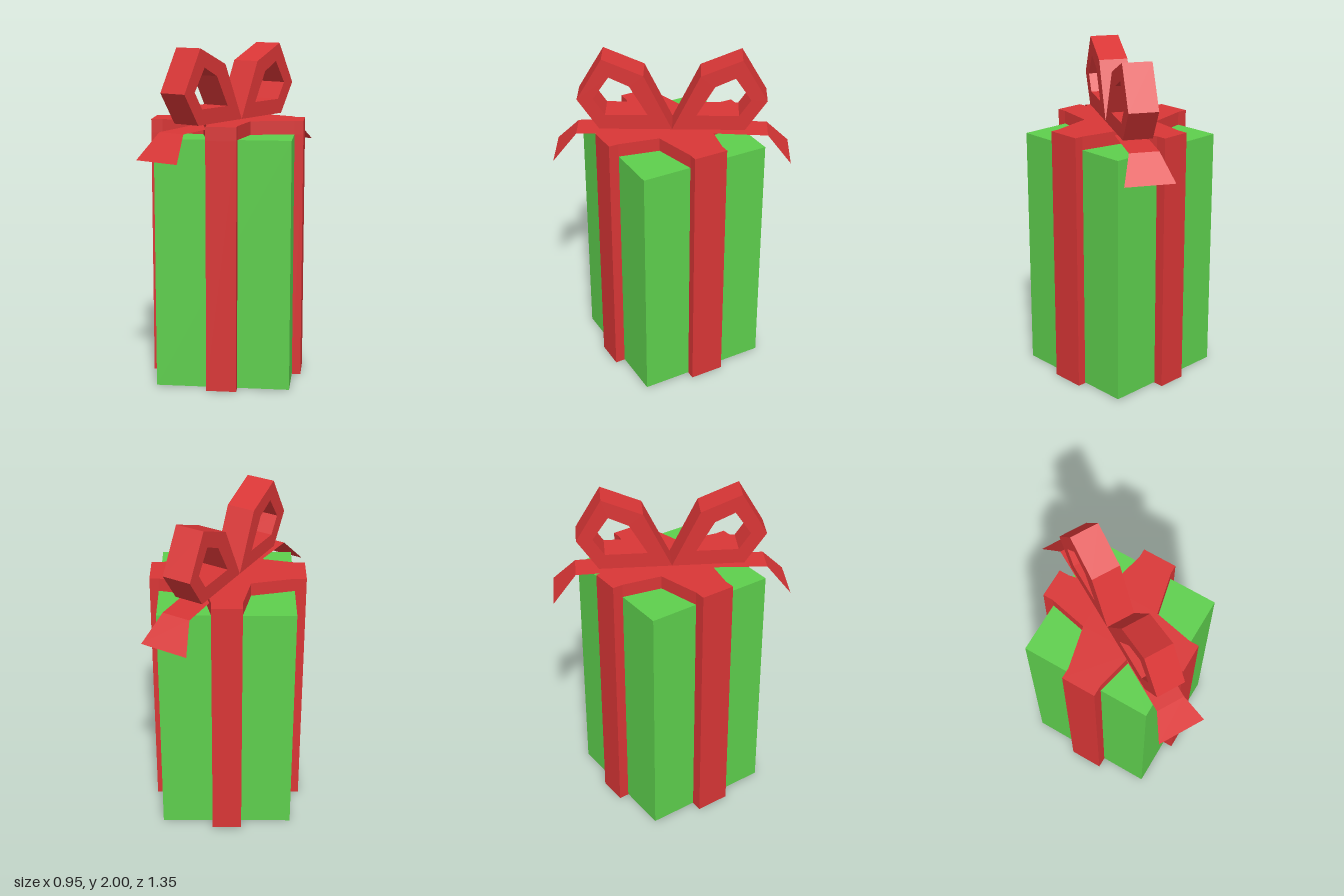
import * as THREE from 'three';

const red = new THREE.MeshStandardMaterial({ color: 0xd93636, flatShading: true, side: THREE.DoubleSide });
const green = new THREE.MeshStandardMaterial({ color: 0x5ecf4d, flatShading: true });

const BOX = 0.395, BOX_TOP = 1.485, TOP = 1.565;

function add(parent, name, geometry, material) {
  const mesh = new THREE.Mesh(geometry, material);
  mesh.name = name;
  parent.add(mesh);
  return mesh;
}

// Box given by its lower and upper corners
function boxBetween(x0, x1, y0, y1, z0, z1) {
  return new THREE.BoxGeometry(x1 - x0, y1 - y0, z1 - z0)
    .translate((x0 + x1) / 2, (y0 + y1) / 2, (z0 + z1) / 2);
}

const toPoints = (list) => list.map(([x, y]) => new THREE.Vector2(x, y));

// Strip swept through cross-sections [distance, height, halfWidth]
function stripGeometry(sections) {
  const positions = [], index = [];
  sections.forEach(([s, y, w], i) => {
    positions.push(s, y, w, s, y, -w);
    if (i > 0) {
      const a = 2 * i - 2;
      index.push(a, a + 2, a + 1, a + 1, a + 2, a + 3);
    }
  });
  const geometry = new THREE.BufferGeometry();
  geometry.setAttribute('position', new THREE.Float32BufferAttribute(positions, 3));
  geometry.setIndex(index);
  const flat = geometry.toNonIndexed();
  flat.computeVertexNormals();
  return flat;
}

export function createModel() {
  const model = new THREE.Group();
  model.name = 'giftBox';

  add(model, 'box', boxBetween(-BOX, BOX, 0.004, BOX_TOP, -BOX, BOX), green);

  // Ribbon running down the four sides and under the box
  const ribbon = new THREE.Group();
  ribbon.name = 'ribbon';
  model.add(ribbon);
  add(ribbon, 'ribbonFront', boxBetween(-0.09, 0.087, 0, BOX_TOP, BOX, 0.455), red);
  add(ribbon, 'ribbonBack', boxBetween(-0.09, 0.087, 0, BOX_TOP, -0.457, -BOX), red);
  add(ribbon, 'ribbonLeft', boxBetween(BOX, 0.447, 0, BOX_TOP, -0.105, 0.102), red);
  add(ribbon, 'ribbonRight', boxBetween(-0.462, -BOX, 0, BOX_TOP, -0.105, 0.102), red);
  add(ribbon, 'ribbonBottom', boxBetween(-0.09, 0.087, 0, 0.01, -BOX, BOX), red);

  // Flared cross on the lid
  const cross = new THREE.Shape(toPoints([
    [-0.09, -0.457], [0.087, -0.457], [0.087, -BOX], [0.138, -0.163],
    [BOX, -0.105], [0.447, -0.105], [0.447, 0.102], [BOX, 0.102],
    [0.138, 0.16], [0.087, BOX], [0.087, 0.455], [-0.09, 0.455],
    [-0.09, BOX], [-0.14, 0.16], [-BOX, 0.102], [-0.462, 0.102],
    [-0.462, -0.105], [-BOX, -0.105], [-0.14, -0.163], [-0.09, -BOX],
  ]));
  const crossGeometry = new THREE.ExtrudeGeometry(cross, { depth: TOP - BOX_TOP, bevelEnabled: false })
    .rotateX(Math.PI / 2).translate(0, TOP, 0);
  add(ribbon, 'ribbonTop', crossGeometry, red);

  // Bow set diagonally: two pentagonal loops and two tails
  const bow = new THREE.Group();
  bow.name = 'bow';
  bow.rotation.y = Math.PI / 3;
  model.add(bow);

  const loop = new THREE.Shape(toPoints([[0, TOP], [0.421, TOP], [0.545, 1.75], [0.398, 2], [0.162, 1.9]]));
  loop.holes.push(new THREE.Path(toPoints([
    [0.14, 1.655], [0.244, 1.835], [0.36, 1.89], [0.452, 1.755], [0.385, 1.655],
  ])));
  const loopGeometry = new THREE.ExtrudeGeometry(loop, { depth: 0.174, bevelEnabled: false })
    .translate(0, 0, -0.087);
  const tailGeometry = stripGeometry([[0.1, 1.545, 0.087], [0.557, 1.53, 0.087], [0.692, 1.38, 0.147]]);

  for (const side of ['Back', 'Front']) {
    const half = new THREE.Group();
    half.name = 'bow' + side;
    half.rotation.y = side === 'Front' ? Math.PI : 0;
    add(half, 'bowLoop' + side, loopGeometry, red);
    add(half, 'bowTail' + side, tailGeometry, red);
    bow.add(half);
  }

  return model;
}
